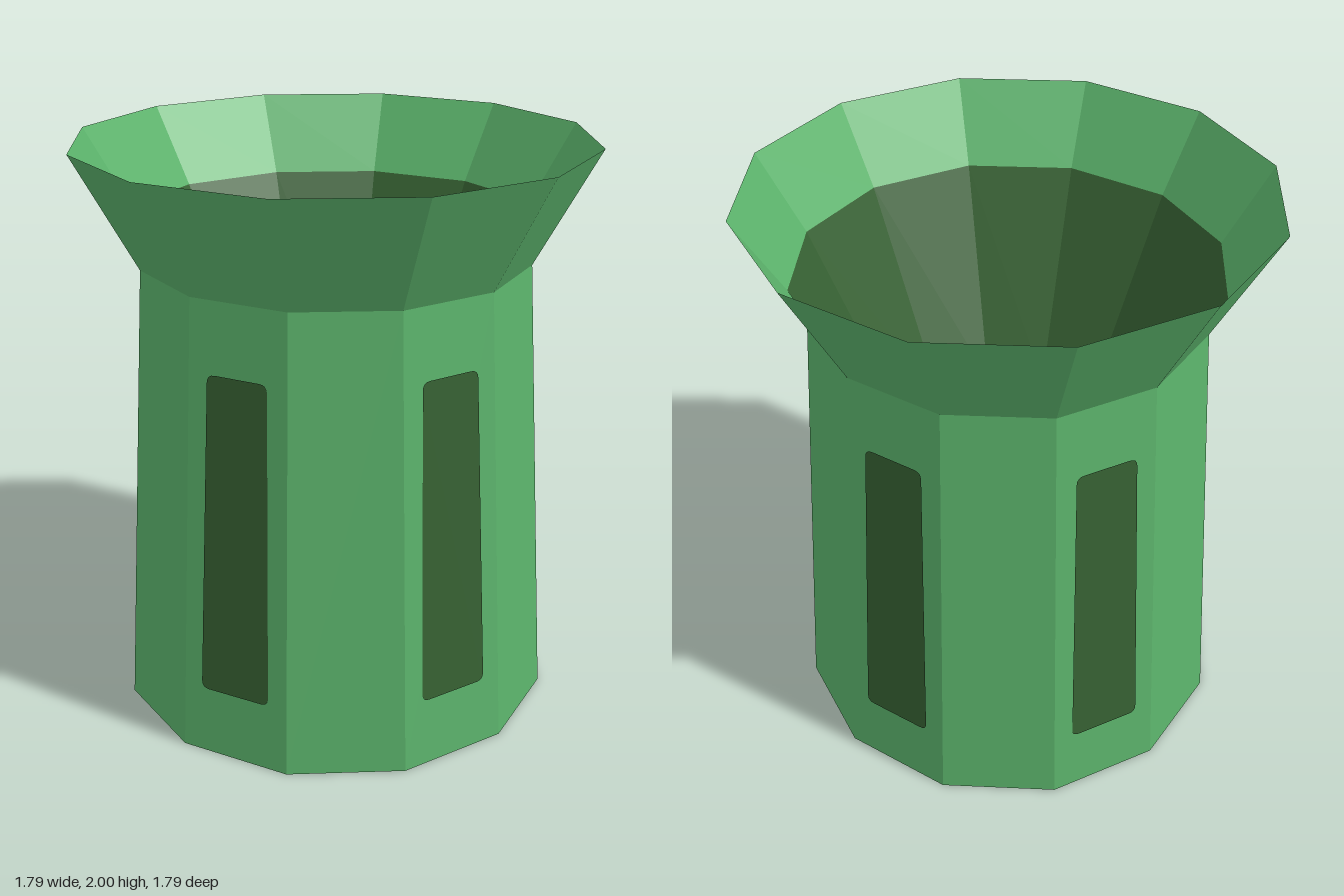
import * as THREE from 'three';

const SIDES = 12;
const BASE_R = 0.778, NECK_R = 0.678, RIM_R = 0.894, NECK_Y = 1.6, TOP_Y = 2;
const LINER_R = 0.73, LINER_Y = 1.73, FLOOR_R = 0.4, FLOOR_Y = 1.0;

function material(name, color) {
  const m = new THREE.MeshStandardMaterial({ color, side: THREE.DoubleSide });
  m.name = name;
  return m;
}

// Faceted open ring between two heights
function ring(name, rBottom, yBottom, rTop, yTop, mat) {
  let geo = new THREE.CylinderGeometry(rTop, rBottom, yTop - yBottom, SIDES, 1, true);
  geo = geo.toNonIndexed();
  geo.computeVertexNormals();
  const mesh = new THREE.Mesh(geo, mat);
  mesh.name = name;
  mesh.position.y = (yTop + yBottom) / 2;
  return mesh;
}

// Flat twelve-sided disc facing up (or down)
function disc(name, r, y, up, mat) {
  const mesh = new THREE.Mesh(new THREE.CircleGeometry(r, SIDES), mat);
  mesh.name = name;
  mesh.rotation.x = up ? -Math.PI / 2 : Math.PI / 2;
  mesh.position.y = y;
  return mesh;
}

// Tapered panel with softened corners
function panelShape(halfBottom, halfTop, halfHeight, corner) {
  const pts = [[-halfBottom, -halfHeight], [halfBottom, -halfHeight], [halfTop, halfHeight], [-halfTop, halfHeight]]
    .map(([x, y]) => new THREE.Vector2(x, y));
  const shape = new THREE.Shape();
  pts.forEach((p, i) => {
    const toward = q => p.clone().add(q.clone().sub(p).setLength(corner));
    const a = toward(pts[(i + 3) % 4]), b = toward(pts[(i + 1) % 4]);
    if (i === 0) shape.moveTo(a.x, a.y); else shape.lineTo(a.x, a.y);
    shape.quadraticCurveTo(p.x, p.y, b.x, b.y);
  });
  shape.closePath();
  return shape;
}

export function createModel() {
  const model = new THREE.Group();
  model.name = 'flaredPot';
  const green = material('leafGreen', 0x5cb46c);
  const dark = material('darkGreen', 0x376233);
  const red = material('deepRed', 0x1e0505);

  // Body, flared rim and underside
  model.add(ring('body', BASE_R, 0, NECK_R, NECK_Y, green));
  model.add(ring('flaredRim', NECK_R, NECK_Y, RIM_R, TOP_Y, green));
  model.add(disc('base', BASE_R, 0, false, green));

  // Inner lip and funnel, kept inside the outer wall
  model.add(ring('innerLip', LINER_R, LINER_Y, RIM_R, TOP_Y, green));
  model.add(ring('innerFunnel', FLOOR_R, FLOOR_Y, LINER_R, LINER_Y, dark));
  model.add(disc('innerFloor', FLOOR_R, FLOOR_Y, true, red));

  // Panels on every second facet
  const apothem = Math.cos(Math.PI / SIDES);
  const tilt = Math.atan((BASE_R - NECK_R) * apothem / NECK_Y);
  const panelGeo = new THREE.ShapeGeometry(panelShape(0.129, 0.109, 0.56, 0.028), 4);
  for (let i = 0; i < 6; i++) {
    const holder = new THREE.Group();
    holder.name = 'sidePanel' + (i + 1);
    holder.rotation.y = -Math.PI / 12 + i * Math.PI / 3;
    const panel = new THREE.Mesh(panelGeo, dark);
    panel.name = 'panel';
    panel.position.set(0, 0.8, (BASE_R + NECK_R) / 2 * apothem + 0.004);
    panel.rotation.x = -tilt;
    holder.add(panel);
    model.add(holder);
  }
  return model;
}
